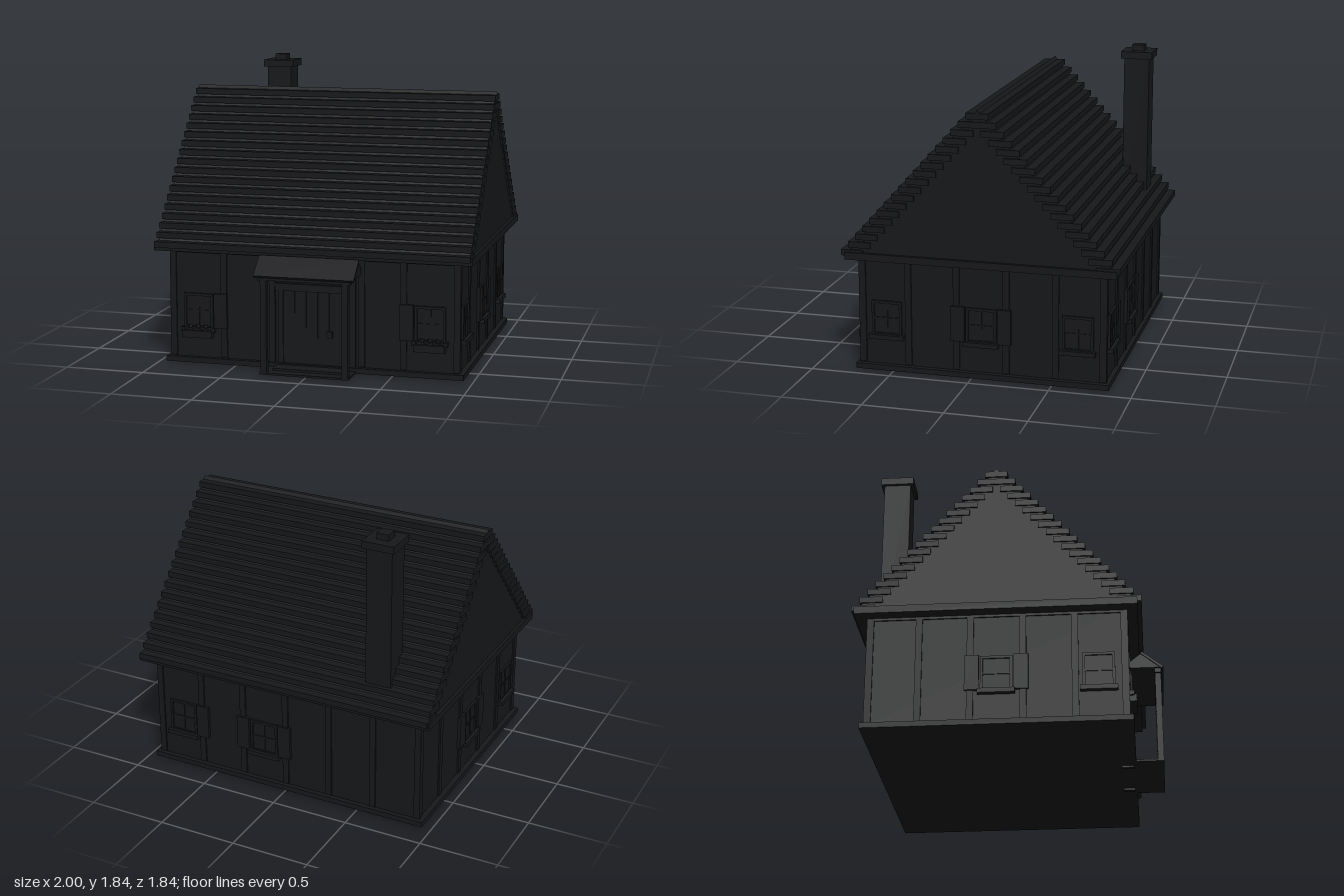
import * as THREE from 'three';

const dark = new THREE.MeshStandardMaterial({ color: 0x161719 });

function add(parent, name, geometry, x = 0, y = 0, z = 0) {
  const mesh = new THREE.Mesh(geometry, dark);
  mesh.name = name;
  mesh.position.set(x, y, z);
  parent.add(mesh);
  return mesh;
}

// Box given by its limits on each axis
function box(parent, name, x0, x1, y0, y1, z0, z1) {
  return add(parent, name, new THREE.BoxGeometry(x1 - x0, y1 - y0, z1 - z0),
    (x0 + x1) / 2, (y0 + y1) / 2, (z0 + z1) / 2);
}

// Triangular prism running along x; points are [z, y]
function prism(parent, name, points, halfWidth) {
  const shape = new THREE.Shape(points.map(([z, y]) => new THREE.Vector2(-z, y)));
  const geo = new THREE.ExtrudeGeometry(shape, { depth: halfWidth * 2, bevelEnabled: false });
  geo.translate(0, 0, -halfWidth);
  geo.rotateY(Math.PI / 2);
  return add(parent, name, geo);
}

// Window in wall space: x along the wall, z outwards, shutters on the listed sides
function addWindow(wall, x, shutterSides) {
  const g = new THREE.Group();
  g.name = 'window';
  g.position.x = x;
  wall.add(g);
  box(g, 'pane', -0.08, 0.08, 0.24, 0.44, 0, 0.004);
  for (const s of [-1, 1]) {
    add(g, 'frameSide', new THREE.BoxGeometry(0.016, 0.22, 0.016), s * 0.087, 0.34, 0.006);
    add(g, 'frameRail', new THREE.BoxGeometry(0.19, 0.016, 0.016), 0, 0.34 + s * 0.102, 0.006);
  }
  box(g, 'mullion', -0.005, 0.005, 0.24, 0.44, 0, 0.01);
  box(g, 'crossBar', -0.08, 0.08, 0.335, 0.345, 0, 0.01);
  box(g, 'sill', -0.11, 0.11, 0.21, 0.238, 0, 0.036);
  for (const s of shutterSides)
    add(g, 'shutter', new THREE.BoxGeometry(0.085, 0.22, 0.02), s * 0.145, 0.345, 0.011);
  return g;
}

// One timbered wall face
function addWall(house, name, position, angle, half, posts, windows) {
  const wall = new THREE.Group();
  wall.name = name;
  wall.position.set(...position);
  wall.rotation.y = angle;
  house.add(wall);
  for (const x of posts) box(wall, 'timberPost', x - 0.02, x + 0.02, 0.05, 0.72, -0.01, 0.01);
  for (const s of [-1, 1])
    add(wall, 'cornerPost', new THREE.BoxGeometry(0.04, 0.67, 0.02), s * (half - 0.02), 0.385, 0);
  box(wall, 'topBeam', -half, half, 0.705, 0.74, -0.01, 0.01);
  for (const [x, sides] of windows) addWindow(wall, x, sides);
  return wall;
}

function addFlowerBox(wall, x) {
  const g = new THREE.Group();
  g.name = 'flowerBox';
  g.position.x = x;
  wall.add(g);
  box(g, 'trough', -0.095, 0.095, 0.175, 0.22, 0, 0.05);
  for (let i = 0; i < 7; i++)
    add(g, 'flower', new THREE.IcosahedronGeometry(0.016, 0),
      -0.075 + i * 0.025, 0.228 + (i % 2) * 0.014, 0.028);
}

export function createModel() {
  const house = new THREE.Group();
  house.name = 'cottage';
  const cz = -0.0625;

  // Plinth and wall core
  box(house, 'plinth', -0.945, 0.945, 0.012, 0.045, -0.855, 0.73);
  box(house, 'walls', -0.91, 0.91, 0.04, 0.74, -0.825, 0.7);

  // Timbered walls
  const front = addWall(house, 'frontWall', [0, 0, 0.7], 0, 0.92,
    [-0.57, -0.31, 0.31, 0.57], [[-0.735, [1]], [0.735, [-1]]]);
  for (const x of [-0.735, 0.735]) addFlowerBox(front, x);
  addWall(house, 'backWall', [0, 0, -0.825], Math.PI, 0.92,
    [-0.6, -0.3, 0, 0.3, 0.6], [[-0.735, [1]], [-0.15, [-1, 1]]]);
  const sidePosts = [-0.46, -0.155, 0.155, 0.46];
  addWall(house, 'leftWall', [0.91, 0, cz], Math.PI / 2, 0.77,
    sidePosts, [[-0.597, []], [0, [-1, 1]], [0.597, []]]);
  addWall(house, 'rightWall', [-0.91, 0, cz], -Math.PI / 2, 0.77,
    sidePosts, [[0, [-1, 1]], [0.597, []]]);

  // Roof body, eaves slab and overlapping shingle courses
  const roof = new THREE.Group();
  roof.name = 'roof';
  house.add(roof);
  prism(roof, 'gableBody', [[cz + 0.84, 0.74], [cz, 1.675], [cz - 0.84, 0.74]], 0.98);
  box(roof, 'eavesSlab', -1, 1, 0.72, 0.765, -0.905, 0.77);
  for (let k = 0; k < 18; k++)
    for (const s of [-1, 1]) {
      const outer = 0.069 + 0.0464 * k;
      const width = Math.min(0.14, outer);
      add(roof, 'shingleCourse', new THREE.BoxGeometry(1.98, 0.037, width),
        0, 1.64 - 0.0517 * k, cz + s * (outer - width / 2));
    }
  prism(roof, 'ridgeCap', [[cz + 0.025, 1.65], [cz, 1.678], [cz - 0.025, 1.65]], 0.99);

  // Chimney
  const chimney = new THREE.Group();
  chimney.name = 'chimney';
  chimney.position.set(-0.617, 0, -0.717);
  house.add(chimney);
  add(chimney, 'stack', new THREE.BoxGeometry(0.165, 1.03, 0.165), 0, 1.255, 0);
  add(chimney, 'cap', new THREE.BoxGeometry(0.205, 0.046, 0.205), 0, 1.783, 0);
  add(chimney, 'flue', new THREE.BoxGeometry(0.08, 0.06, 0.08), 0, 1.814, 0);

  // Porch with step, posts and a small pitched roof
  const porch = new THREE.Group();
  porch.name = 'porch';
  house.add(porch);
  box(porch, 'porchFloor', -0.28, 0.28, 0.012, 0.024, 0.7, 0.9);
  box(porch, 'doorStep', -0.22, 0.22, 0.012, 0.037, 0.7, 0.83);
  for (const s of [-1, 1]) {
    add(porch, 'porchPost', new THREE.BoxGeometry(0.038, 0.6, 0.038), s * 0.255, 0.315, 0.88);
    add(porch, 'wallPost', new THREE.BoxGeometry(0.038, 0.6, 0.02), s * 0.255, 0.315, 0.71);
  }
  box(porch, 'porchBeam', -0.29, 0.29, 0.595, 0.63, 0.86, 0.9);
  prism(porch, 'porchRoof', [[0.905, 0.62], [0.78, 0.72], [0.655, 0.62]], 0.305);
  const slope = box(porch, 'porchRoofBoard', -0.313, 0.313, -0.008, 0.008, -0.083, 0.083);
  slope.position.set(0, 0.67, 0.845);
  slope.rotation.x = Math.atan2(0.1, 0.125);

  // Door
  const door = new THREE.Group();
  door.name = 'door';
  house.add(door);
  box(door, 'doorPanel', -0.185, 0.185, 0.03, 0.5, 0.69, 0.706);
  for (const s of [-1, 1])
    add(door, 'doorJamb', new THREE.BoxGeometry(0.03, 0.54, 0.075), s * 0.2, 0.27, 0.6775);
  box(door, 'doorLintel', -0.235, 0.235, 0.5, 0.545, 0.65, 0.722);
  for (let i = -2; i <= 2; i++)
    box(door, 'doorPlank', i * 0.073 - 0.034, i * 0.073 + 0.034, 0.035, 0.5, 0.7, 0.709);
  box(door, 'doorHandle', 0.095, 0.13, 0.22, 0.26, 0.7, 0.725);

  return house;
}
